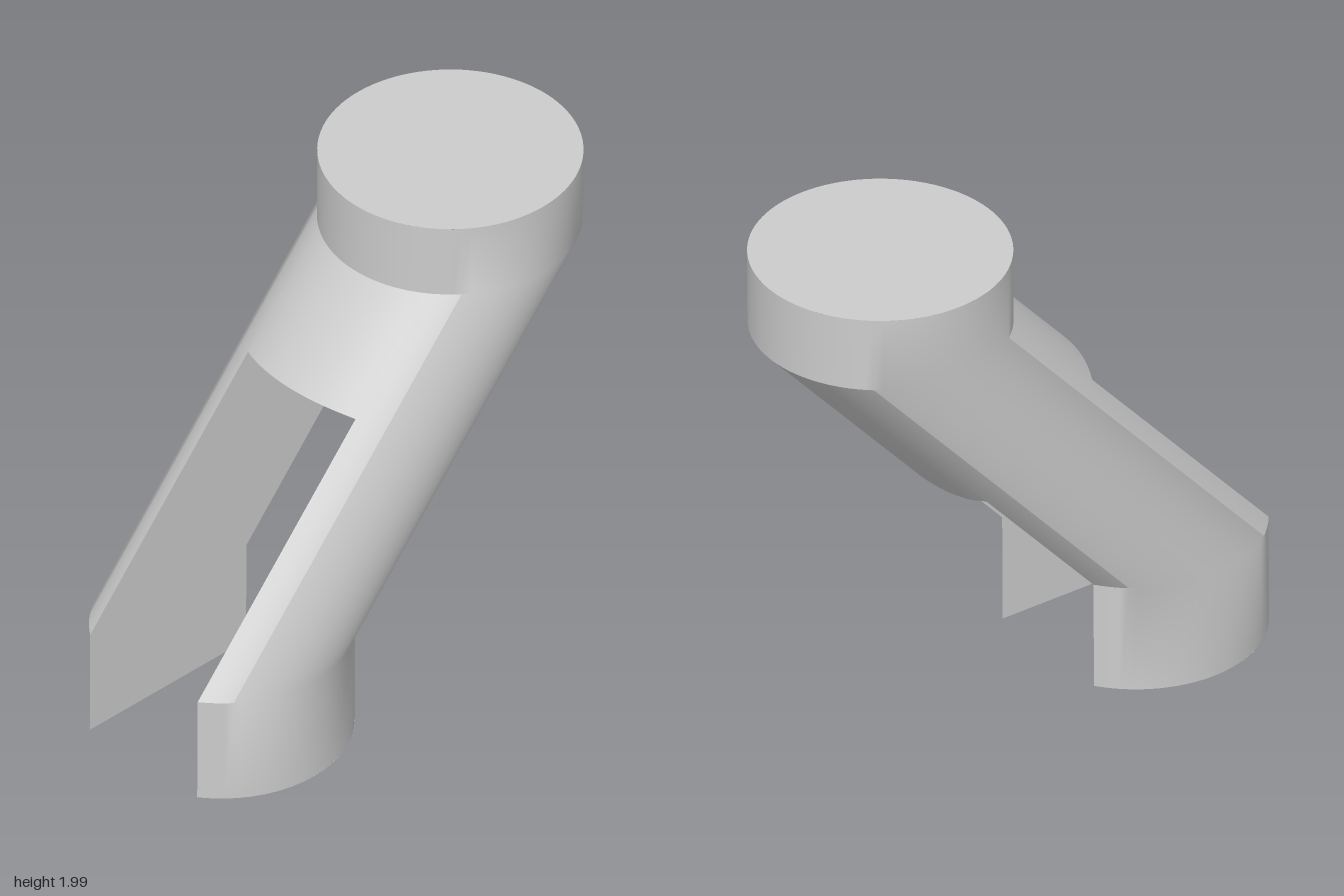
import * as THREE from 'three';
import { mergeGeometries, toCreasedNormals } from 'three/addons/utils/BufferGeometryUtils.js';

const R = 0.48, SLOT = 0.28;               // tube radius, half width of the slot
const BEND1 = 0.43, BEND2 = 1.69, TOP = 1.985;
const A = Math.asin(SLOT / R);             // angle at which the slot meets the tube

// Centre line of the tube: upright, slanted, upright, with a faint lean in z
const cx = y => -0.61 + 1.13 * THREE.MathUtils.clamp((y - BEND1) / (BEND2 - BEND1), 0, 1);
const cz = y => -0.007 + 0.006 * y;

// Gently arched profile of the slot's closed end
const endY = x => {
  const t = (x + 0.29) / 0.59;
  return 1.33 - 0.42 * t + 0.22 * t * (1 - t);
};
// Where the slot's end meets the tube wall at angle a
function endX(a) {
  let x = 0;
  for (let i = 0; i < 60; i++) x = cx(endY(x)) + R * Math.cos(a);
  return x;
}

// Surface from f(u, v); it faces along du x dv
function grid(nu, nv, f) {
  const pos = [], idx = [];
  for (let j = 0; j <= nv; j++)
    for (let i = 0; i <= nu; i++) pos.push(...f(i / nu, j / nv));
  for (let j = 0; j < nv; j++)
    for (let i = 0; i < nu; i++) {
      const a = j * (nu + 1) + i, b = a + 1, c = a + nu + 1, d = c + 1;
      idx.push(a, b, d, a, d, c);
    }
  const g = new THREE.BufferGeometry();
  g.setAttribute('position', new THREE.Float32BufferAttribute(pos, 3));
  g.setIndex(idx);
  return g;
}

// Part of the tube wall between two angles, through the given heights
function wall(from, to, n, heights) {
  return grid(n, heights(0).length - 1, (u, v) => {
    const a = to + (from - to) * u;
    const hs = heights(a), y = hs[Math.round(v * (hs.length - 1))];
    return [cx(y) + R * Math.cos(a), y, cz(y) + R * Math.sin(a)];
  });
}

export function createModel() {
  const group = new THREE.Group();
  const solid = new THREE.MeshStandardMaterial({ color: 0xcccccc });
  const flat = new THREE.MeshStandardMaterial({ color: 0xcccccc, side: THREE.DoubleSide });
  const add = (name, geometry, material) => {
    const mesh = new THREE.Mesh(geometry, material);
    mesh.name = name;
    group.add(mesh);
    return mesh;
  };

  // Outer skin: two full-height sides and the two strips above the slot
  const full = () => [0, BEND1, BEND2, TOP];
  const short = a => [endY(endX(a)), BEND2, TOP];
  const skin = mergeGeometries([
    wall(A, Math.PI - A, 28, full),
    wall(Math.PI + A, 2 * Math.PI - A, 28, full),
    wall(-A, A, 20, short),
    wall(Math.PI - A, Math.PI + A, 20, short),
  ]);
  add('tubeWall', toCreasedNormals(skin, 0.5), solid);

  // Round lid
  const lid = new THREE.CircleGeometry(R, 96).rotateX(-Math.PI / 2);
  add('topCap', lid, solid).position.set(cx(TOP), TOP, cz(TOP));

  // Arched closed end of the slot, facing down
  const ceiling = grid(16, 20, (u, v) => {
    const a = A * (2 * v - 1);
    const x = THREE.MathUtils.lerp(endX(Math.PI - a), endX(a), u);
    const y = endY(x);
    return [x, y, cz(y) + R * Math.sin(a)];
  });
  ceiling.computeVertexNormals();
  add('slotEnd', ceiling, flat);

  // Flat inner walls of the slot and the feet of the two legs
  const half = R * Math.cos(A);
  const x0 = endX(Math.PI - A), x1 = endX(A);
  const profile = [[cx(0) - half, 0], [cx(0) + half, 0], [cx(0) + half, BEND1]];
  for (let i = 0; i <= 16; i++) {
    const x = x1 + (x0 - x1) * i / 16;
    profile.push([x, endY(x)]);
  }
  profile.push([cx(0) - half, BEND1]);
  for (const s of [1, -1]) {
    const side = s > 0 ? 'front' : 'back';
    const inner = new THREE.ShapeGeometry(new THREE.Shape(profile.map(p => new THREE.Vector2(...p))));
    const p = inner.attributes.position;
    for (let i = 0; i < p.count; i++) p.setZ(i, s * SLOT + cz(p.getY(i)));
    inner.computeVertexNormals();
    add(side + 'SlotWall', inner, flat);

    const arc = new THREE.Shape().absarc(0, 0, R, A, Math.PI - A, false);
    const foot = new THREE.ShapeGeometry(arc, 28).rotateX(s * Math.PI / 2);
    add(side + 'Foot', foot, flat).position.set(cx(0), 0, cz(0));
  }
  return group;
}
